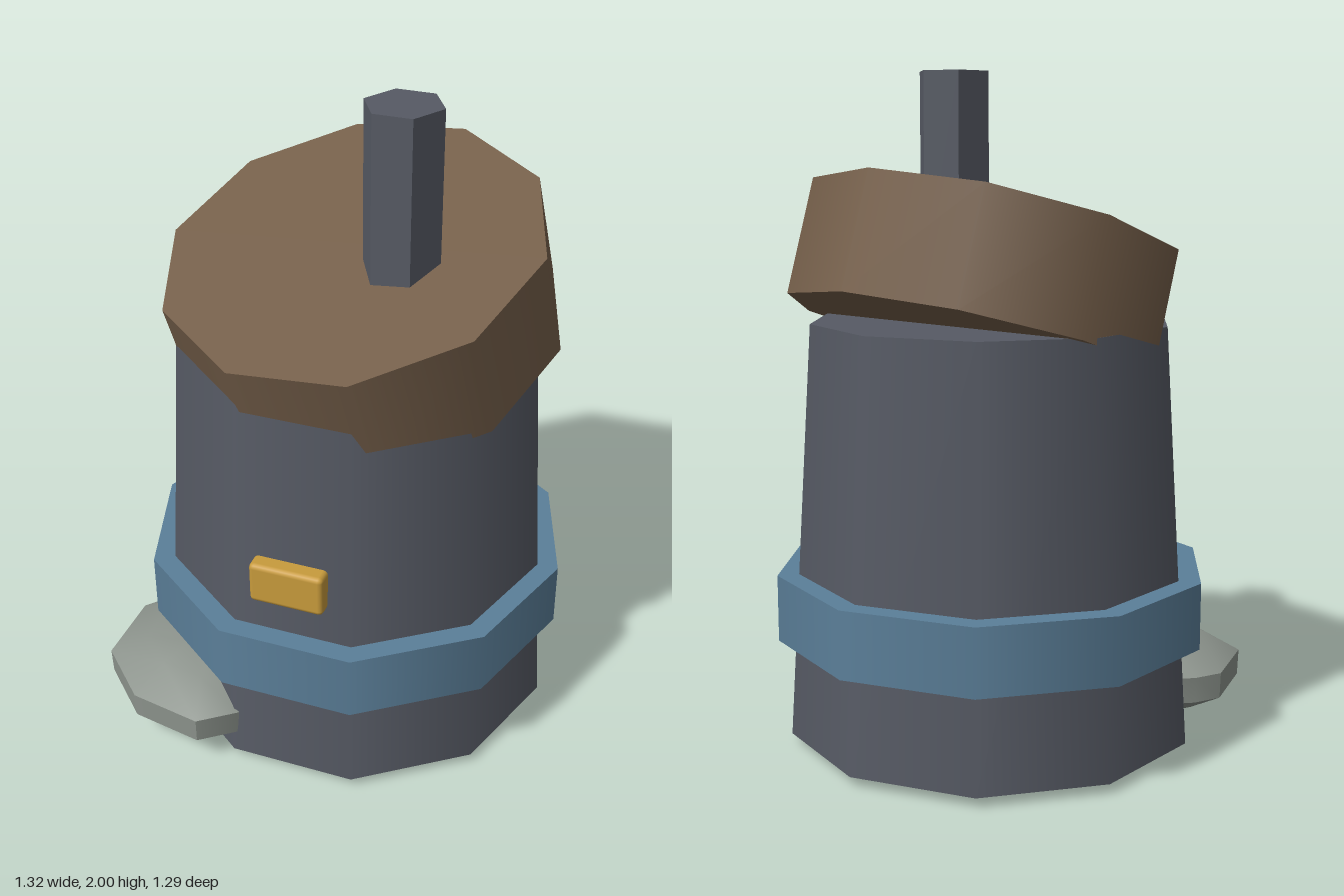
import * as THREE from 'three';
import { toCreasedNormals } from 'three/addons/utils/BufferGeometryUtils.js';
import { RoundedBoxGeometry } from 'three/addons/geometries/RoundedBoxGeometry.js';
import { ConvexGeometry } from 'three/addons/geometries/ConvexGeometry.js';

const material = (name, color, flatShading = false) => {
  const m = new THREE.MeshStandardMaterial({ color, flatShading });
  m.name = name;
  return m;
};

// Upright prism with a corner on each side (+x and -x)
function prism(top, bottom, y0, y1, sides) {
  const g = new THREE.CylinderGeometry(top, bottom, y1 - y0, sides);
  g.rotateY(Math.PI / 2);
  g.translate(0, (y0 + y1) / 2, 0);
  return g;
}

export function createModel() {
  const group = new THREE.Group();
  const iron = material('dark iron', 0x565a64);
  const wood = material('brown wood', 0x755f4a);
  const blue = material('blue band', 0x5b7f99);
  const brass = material('brass', 0xc89b3c);
  const stone = material('grey stone', 0x8c938c);

  const add = (name, geometry, mat, x = 0, y = 0, z = 0) => {
    const mesh = new THREE.Mesh(geometry, mat);
    mesh.name = name;
    mesh.position.set(x, y, z);
    group.add(mesh);
    return mesh;
  };

  // Tapered ten-sided body and the band around it
  add('body', prism(0.542, 0.62, 0.03, 1.27, 10), iron, 0.01, 0, -0.025);
  add('band', prism(0.655, 0.655, 0.325, 0.525, 10), blue, 0.008, 0, -0.025);

  // Lid, tipped forward and a little sideways, hung from its top face
  const lid = add('lid', prism(0.565, 0.565, -0.345, 0, 10), wood, 0.012, 1.545, 0.03);
  lid.rotation.set(0.3, 0, 0.105);

  // Six-sided rod standing in the lid
  add('rod', toCreasedNormals(prism(0.113, 0.113, 1.4, 2, 6), 0.5), iron, 0.177, 0, 0.088);

  // Small plate on the front
  add('plate', new RoundedBoxGeometry(0.225, 0.13, 0.07, 2, 0.015), brass, 0.006, 0.705, 0.535);

  // Flattened rock at the foot: one outline scaled at several heights
  const outline = [[-0.66, 0.2], [-0.66, 0.44], [-0.495, 0.6], [-0.27, 0.64], [-0.165, 0.56],
    [-0.06, 0.3], [-0.2, 0.06], [-0.45, 0.04], [-0.6, 0.13]];
  const cx = -0.36, cz = 0.33;
  const points = [];
  for (const [y, s] of [[0.04, 0.65], [0.1, 0.99], [0.18, 1], [0.245, 0.62], [0.265, 0.25]]) {
    for (const [x, z] of outline) {
      points.push(new THREE.Vector3(cx + (x - cx) * s, y, cz + (z - cz) * s));
    }
  }
  points.push(new THREE.Vector3(-0.31, 0, 0.3));
  add('rock', toCreasedNormals(new ConvexGeometry(points), 0.6), stone);

  return group;
}
